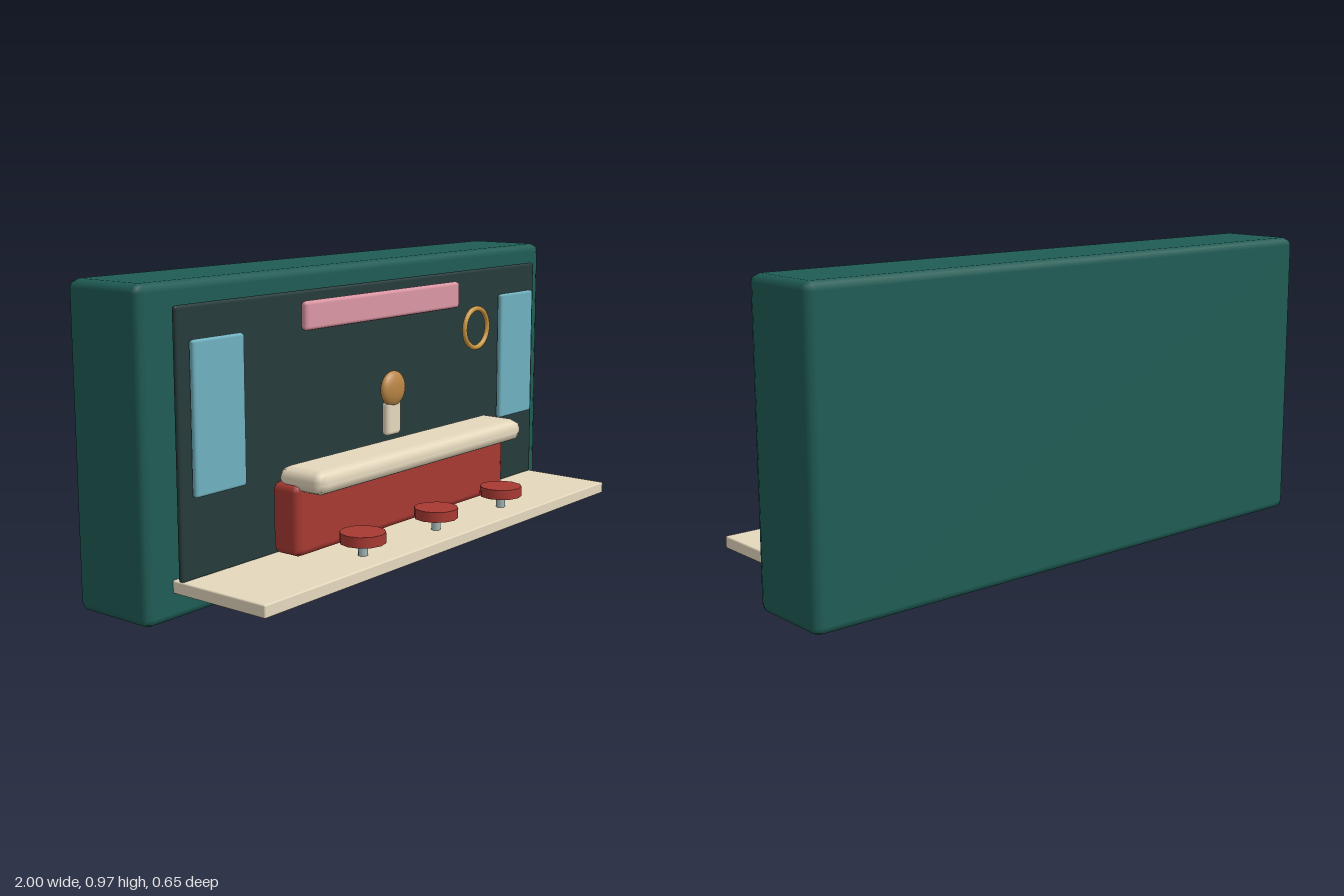
import * as THREE from 'three';
import { RoundedBoxGeometry } from 'three/addons/geometries/RoundedBoxGeometry.js';

const paint = (color) => new THREE.MeshStandardMaterial({ color });
const green = paint(0x1f5c54), slate = paint(0x263b3b), cream = paint(0xe5d8bd);
const red = paint(0xa83a32), blue = paint(0x6fb0bf), pink = paint(0xdb96a3);
const gold = paint(0xc9963f), amber = paint(0xb98545), steel = paint(0x9fb5b3);

export function createModel() {
  const model = new THREE.Group();
  model.name = 'dinerFacade';

  function add(name, geometry, material, x, y, z, parent = model) {
    const mesh = new THREE.Mesh(geometry, material);
    mesh.name = name;
    mesh.position.set(x, y, z);
    parent.add(mesh);
    return mesh;
  }

  // Bevelled box given by its [min, max] extents
  function slab(name, material, [x0, x1], [y0, y1], [z0, z1], bevel) {
    const geometry = new RoundedBoxGeometry(x1 - x0, y1 - y0, z1 - z0, 1, bevel);
    return add(name, geometry, material, (x0 + x1) / 2, (y0 + y1) / 2, (z0 + z1) / 2);
  }

  // Shell, back panel and floor ledge
  slab('case', green, [-1, 1], [0, 0.97], [-0.325, -0.03], 0.026);
  slab('backPanel', slate, [-0.9, 0.9], [0.12, 0.907], [-0.01, 0.01], 0.009);
  slab('floor', cream, [-0.9, 0.9], [0.085, 0.124], [-0.04, 0.325], 0.005);

  // Serving counter
  slab('counterBase', red, [-0.543, 0.543], [0.13, 0.355], [0.018, 0.128], 0.026);
  slab('counterTop', cream, [-0.535, 0.535], [0.326, 0.402], [0.033, 0.212], 0.034);

  // Wall fittings
  slab('signBoard', pink, [-0.395, 0.395], [0.787, 0.877], [0.01, 0.038], 0.012);
  for (const side of [-1, 1]) {
    const window = slab('window', blue, [-0.102, 0.102], [0.363, 0.811], [0.012, 0.034], 0.009);
    window.position.x = side * 0.758;
  }
  add('wallRing', new THREE.TorusGeometry(0.068, 0.009, 10, 32), gold, 0.487, 0.709, 0.04);

  // Figure behind the counter
  slab('figureBody', cream, [-0.037, 0.037], [0.41, 0.525], [0.034, 0.065], 0.014);
  add('figureHead', new THREE.SphereGeometry(0.058, 24, 16), amber, 0, 0.563, 0.055).scale.z = 0.4;

  // Row of stools
  for (const x of [-0.37, 0, 0.37]) {
    const stool = new THREE.Group();
    stool.name = 'stool';
    stool.position.set(x, 0, 0.231);
    model.add(stool);
    add('stoolSeat', new THREE.CylinderGeometry(0.071, 0.071, 0.033, 12), red, 0, 0.181, 0, stool);
    add('stoolStem', new THREE.CylinderGeometry(0.015, 0.015, 0.11, 10), steel, 0, 0.12, 0, stool);
  }
  return model;
}
